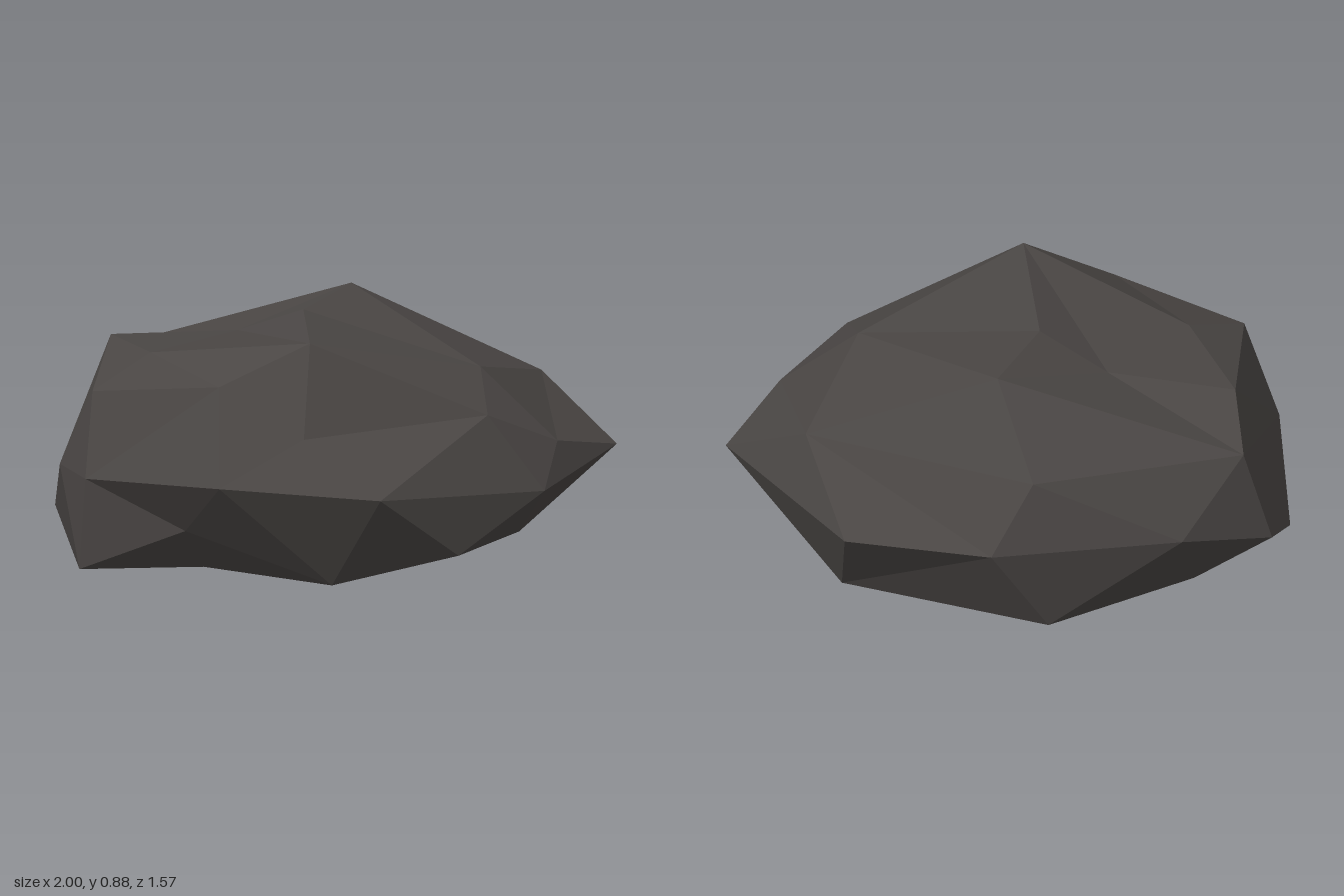
import * as THREE from 'three';

// Corner points of the boulder, one letter each, grouped by height.
const corners = {
  // widest ring, from the pointed tip round by the front
  T: [1, 0.38, -0.28], A: [0.87, 0.315, 0.24], B: [0.4, 0.365, 0.76], C: [-0.19, 0.38, 0.785],
  D: [-0.74, 0.34, 0.58], E: [-0.89, 0.34, 0.37], F: [-1, 0.26, -0.31], G: [-0.72, 0.355, -0.55],
  H: [-0.07, 0.355, -0.785], I: [0.47, 0.34, -0.76],
  // shoulder ring
  a: [0.87, 0.46, 0.06], b: [0.67, 0.59, 0.28], c: [0.09, 0.55, 0.66], d: [0.07, 0.867, 0.5],
  e: [-0.24, 0.71, 0.6], f: [-0.74, 0.64, 0.48], g: [-0.82, 0.72, -0.08], h: [-0.9, 0.61, -0.33],
  i: [-0.2, 0.61, -0.67], j: [0.67, 0.59, -0.47],
  // crown, with a shallow dent at R
  k: [0.58, 0.71, 0.04], P: [-0.02, 0.88, -0.42], Q: [-0.1, 0.86, -0.05], R: [-0.36, 0.755, -0.11],
  S: [-0.58, 0.745, 0.27],
  // foot ring, with a hollow at o and t
  l: [0.72, 0.11, 0.03], m: [0.62, 0.12, 0.5], n: [0.17, 0, 0.57], o: [-0.37, 0.17, 0.58],
  p: [-0.77, 0, 0.55], J: [-1, 0.105, 0.02], q: [-0.7, 0, -0.23], r: [-0.25, 0, -0.64],
  s: [0.53, 0, -0.51], t: [-0.35, 0, 0.4],
};

export function createModel() {
  const positions = [];
  const face = (...names) => {
    if (new Set(names).size === 3) names.forEach((n) => positions.push(...corners[n]));
  };
  // Joins two rims of equal length; a repeated letter turns a quad into a triangle.
  const band = (upper, lower) => {
    for (let n = 0; n < upper.length - 1; n++) {
      face(upper[n], upper[n + 1], lower[n]);
      face(lower[n], upper[n + 1], lower[n + 1]);
    }
  };
  const fan = (hub, rim) => {
    for (let n = 0; n < rim.length - 1; n++) face(hub, rim[n], rim[n + 1]);
  };

  // Crown
  band('kkkQRSSSSRRPPPkk', 'abddddefgghhijja');
  fan('P', 'QkP');
  fan('P', 'RQ');
  // Shoulder
  fan('c', 'bde');
  band('aabcefghhijja', 'TABCDEEFGHITT');
  // Undercut sides
  band('TABCDEFGHIT', 'lmnopJqrssl');
  // Underside
  fan('t', 'nopqrsn');
  fan('n', 'slm');
  fan('q', 'pJ');

  const geometry = new THREE.BufferGeometry();
  geometry.setAttribute('position', new THREE.Float32BufferAttribute(positions, 3));
  geometry.computeVertexNormals();

  const stone = new THREE.MeshStandardMaterial({ color: 0x4a4644, flatShading: true });
  stone.name = 'dark stone';
  const boulder = new THREE.Mesh(geometry, stone);
  boulder.name = 'boulder';

  const group = new THREE.Group();
  group.name = 'rock';
  group.add(boulder);
  return group;
}
